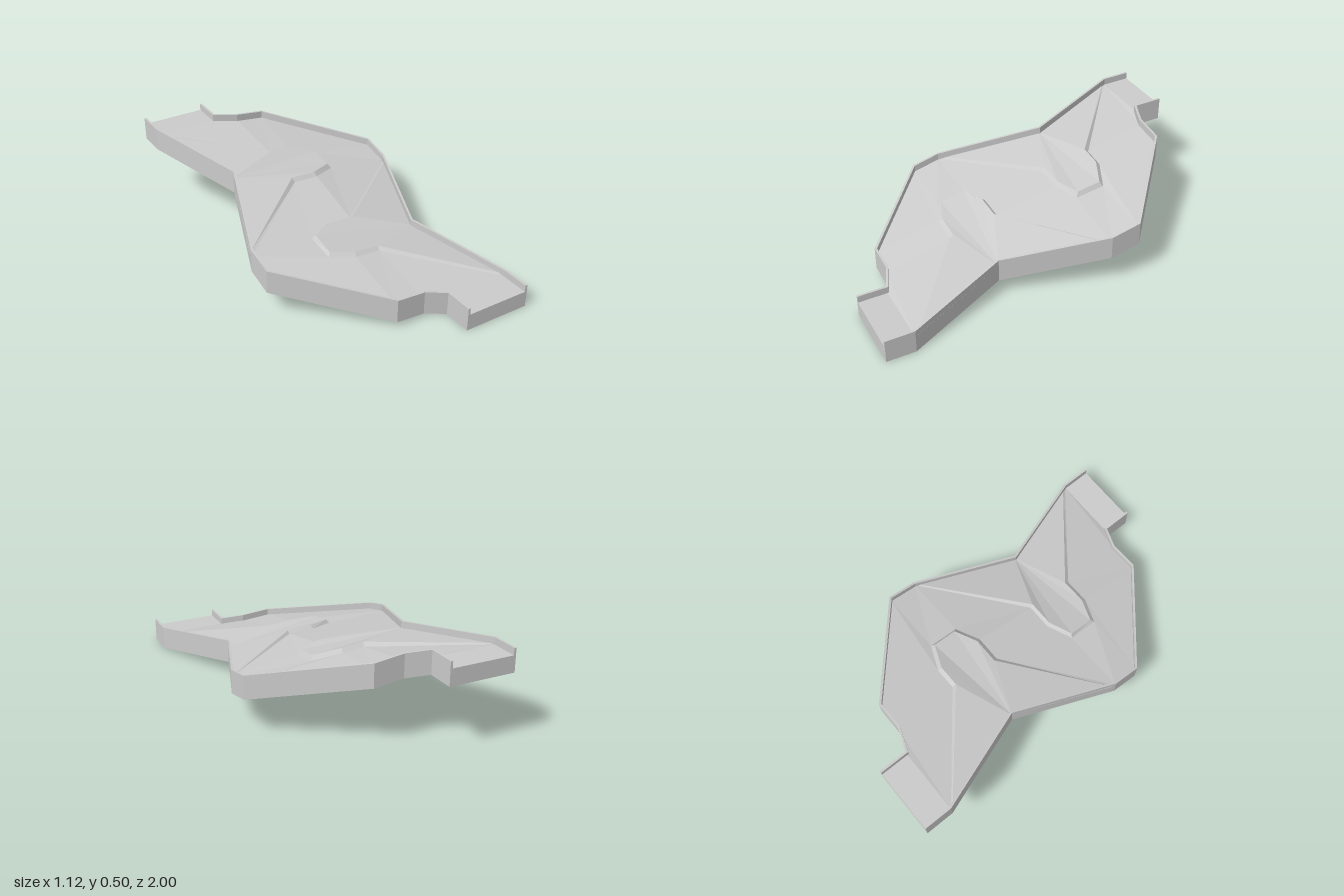
import * as THREE from 'three';

const FLOOR = 0.09;   // floor height above the lower rim
const WALL = 0.127;   // full height of the side skirt
const THICK = 0.012;  // rim thickness

const mat = new THREE.MeshStandardMaterial({ color: 0xcccccc, flatShading: true, side: THREE.DoubleSide });

// Lower rim of the two sides, back to front: x, y, z
const sideA = [[-0.2, 0.373, -1], [-0.2, 0.37, -0.845], [-0.08, 0.357, -0.8], [0.08, 0.337, -0.8], [0.56, 0.203, -0.39],
  [0.56, 0.168, -0.23], [0.365, 0.085, 0.31], [0.56, 0, 0.845], [0.56, 0, 1]];
const sideB = [[-0.56, 0.373, -1], [-0.56, 0.37, -0.845], [-0.365, 0.295, -0.31], [-0.56, 0.17, 0.23], [-0.56, 0.133, 0.38],
  [-0.08, 0.03, 0.8], [0.08, 0.018, 0.8], [0.19, 0, 0.845], [0.19, 0, 1]];

// Foot and top edges of the two raised dividers, from wall to wall
const footA = [[-0.555, 0.46, -0.845], [-0.06, 0.387, -0.45], [0.06, 0.375, -0.45], [0.2, 0.338, -0.39],
  [0.2, 0.315, -0.23], [0.07, 0.33, -0.17], [-0.07, 0.335, -0.17], [-0.555, 0.26, 0.23]];
const topA = [[-0.555, 0.462, -0.835], [-0.065, 0.406, -0.43], [0.055, 0.395, -0.43], [0.185, 0.36, -0.375],
  [0.185, 0.34, -0.245], [0.065, 0.35, -0.19], [-0.075, 0.355, -0.19], [-0.555, 0.268, 0.21]];
const footB = [[0.555, 0.258, -0.23], [0.06, 0.25, 0.17], [-0.08, 0.255, 0.17], [-0.21, 0.245, 0.23],
  [-0.21, 0.22, 0.39], [-0.08, 0.205, 0.44], [0.06, 0.193, 0.44], [0.555, 0.09, 0.845]];
const topB = [[0.555, 0.26, -0.22], [0.065, 0.263, 0.187], [-0.075, 0.27, 0.187], [-0.195, 0.265, 0.24],
  [-0.195, 0.237, 0.375], [-0.075, 0.222, 0.42], [0.065, 0.21, 0.42], [0.555, 0.098, 0.83]];

const raise = (p, h) => [p[0], p[1] + h, p[2]];

function meshFrom(triangles, name) {
  const geo = new THREE.BufferGeometry();
  geo.setAttribute('position', new THREE.Float32BufferAttribute(triangles.flat(), 3));
  geo.computeVertexNormals();
  const mesh = new THREE.Mesh(geo, mat);
  mesh.name = name;
  return mesh;
}

const quad = (a, b, c, d) => [a, b, c, a, c, d];

// Surface between two rails; flip chooses which way it faces
function strip(p, q, flip = false) {
  const out = [];
  for (let i = 0; i + 1 < p.length; i++) {
    out.push(...(flip ? quad(p[i], q[i], q[i + 1], p[i + 1]) : quad(p[i], p[i + 1], q[i + 1], q[i])));
  }
  return out;
}

// Mitred offset of a rail in plan
function inset(rail, dist) {
  const normal = (a, b) => new THREE.Vector2(-(b[2] - a[2]), b[0] - a[0]).normalize();
  return rail.map((p, i) => {
    const n1 = normal(rail[Math.max(i - 1, 0)], rail[Math.max(i, 1)]);
    const last = rail.length - 1;
    const n2 = normal(rail[Math.min(i, last - 1)], rail[Math.min(i + 1, last)]);
    const m = n1.clone().add(n2);
    m.multiplyScalar(2 * dist / m.lengthSq());
    return [p[0] + m.x, p[1], p[2] + m.y];
  });
}

// Outer skirt, rim top, inner face and end caps
function wall(rail, sign, name) {
  const inner = inset(rail, sign * THICK);
  const outTop = rail.map(p => raise(p, WALL));
  const inTop = inner.map(p => raise(p, WALL));
  const inLow = inner.map(p => raise(p, FLOOR - 0.01));
  const outLow = rail.map(p => raise(p, FLOOR - 0.01));
  const flip = sign < 0;
  const tris = [...strip(rail, outTop, flip), ...strip(outTop, inTop, flip), ...strip(inTop, inLow, flip)];
  const n = rail.length - 1;
  tris.push(...quad(outLow[0], outTop[0], inTop[0], inLow[0]), ...quad(outLow[n], inLow[n], inTop[n], outTop[n]));
  return meshFrom(tris, name);
}

// Raised divider: bevelled edge plus a top fanned from the notch in the wall
function divider(foot, top, notch, name) {
  const tris = strip(foot, top);
  for (let i = 0; i + 1 < top.length; i++) tris.push(notch, top[i], top[i + 1]);
  // make every face point upward
  for (let i = 0; i < tris.length; i += 3) {
    const [a, b, c] = tris.slice(i, i + 3);
    const up = (b[2] - a[2]) * (c[0] - a[0]) - (b[0] - a[0]) * (c[2] - a[2]);
    if (up < 0) [tris[i + 1], tris[i + 2]] = [c, b];
  }
  return meshFrom(tris, name);
}

export function createModel() {
  const group = new THREE.Group();
  group.name = 'switchbackTrack';

  const a = sideA.map(p => raise(p, FLOOR));
  const b = sideB.map(p => raise(p, FLOOR));

  // Winding lane: cross-pairs from the back opening to the front one
  const railOne = [b[0], ...footA, b[4], b[5], b[6], b[7], b[8]];
  const railTwo = [a[0], a[1], a[2], a[3], a[4], a[5], ...footB.slice(1), a[8]];
  railOne.splice(8, 1, b[3]);
  group.add(meshFrom(strip(railOne, railTwo), 'laneFloor'));

  group.add(divider(footA, topA, b[2], 'backDivider'));
  group.add(divider(footB, topB, a[6], 'frontDivider'));
  group.add(wall(sideA, 1, 'leftWall'));
  group.add(wall(sideB, -1, 'rightWall'));

  // Closing panels under the two openings
  const n = sideA.length - 1;
  group.add(meshFrom(quad(sideA[0], sideB[0], b[0], a[0]), 'backPanel'));
  group.add(meshFrom(quad(sideB[n], sideA[n], a[n], b[n]), 'frontPanel'));
  return group;
}
